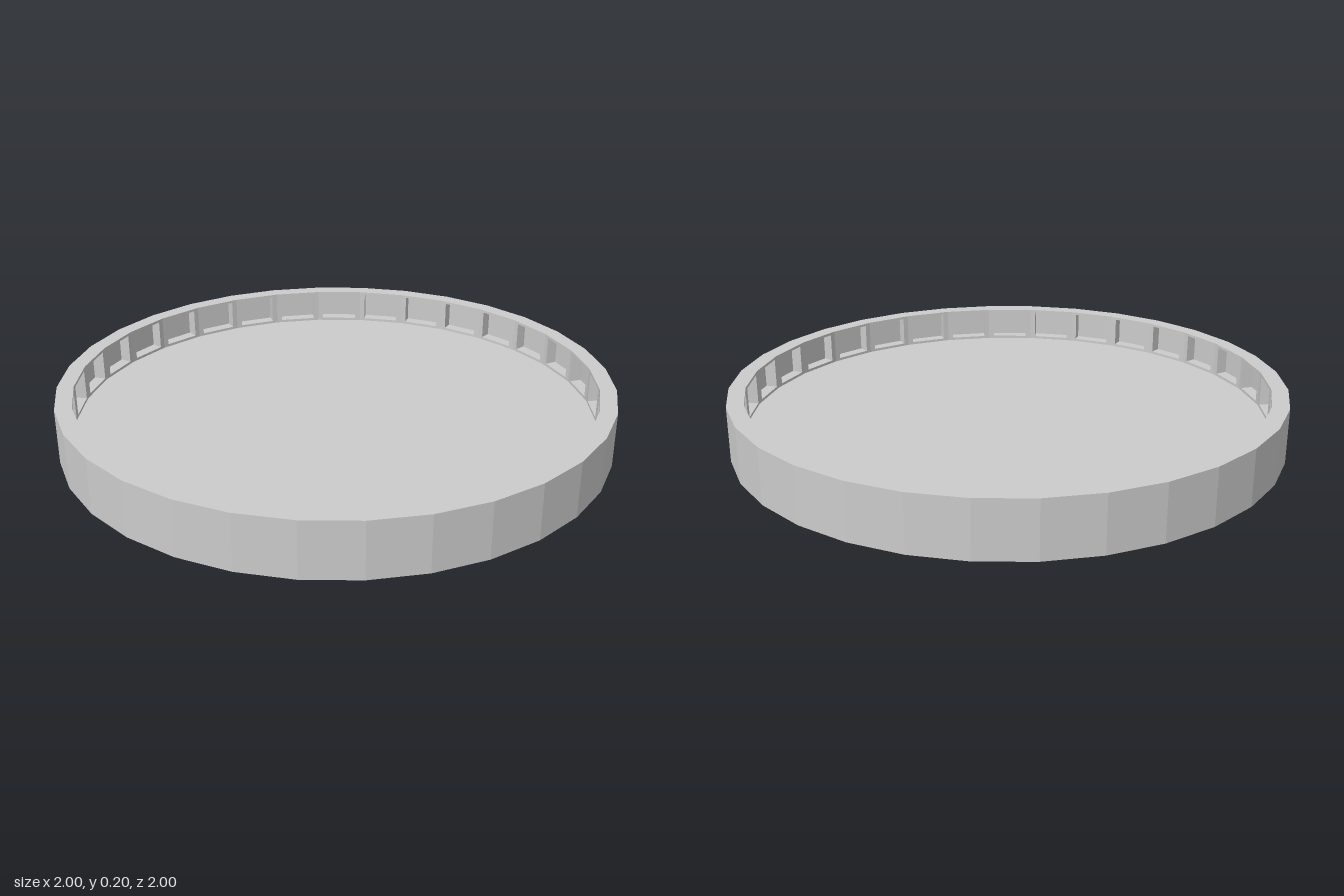
import * as THREE from 'three';

const SIDES = 32;
const OUTER = 1, INNER = 0.94, BACK = 0.985; // wall radii, BACK is the rear of the pockets
const HEIGHT = 0.2, FLOOR = 0.07;
const SILL = 0.08, LINTEL = 0.19;            // bottom and top of the pockets
const HALF = 0.021;                          // half width of a pillar

export function createModel() {
  const group = new THREE.Group();
  const material = new THREE.MeshStandardMaterial({ color: 0xcccccc, flatShading: true });

  // Faceted tray: floor, wall and rim, with a channel cut around the inside
  const profile = [
    [0, 0], [OUTER, 0], [OUTER, HEIGHT], [INNER, HEIGHT], [INNER, LINTEL], [BACK, LINTEL],
    [BACK, SILL], [INNER, SILL], [INNER, FLOOR], [0, FLOOR],
  ].map(([r, y]) => new THREE.Vector2(r, y));
  const tray = new THREE.Mesh(new THREE.LatheGeometry(profile, SIDES), material);
  tray.name = 'tray';
  group.add(tray);

  // Pillars at the corners divide the channel into one pocket per facet
  const slope = HALF * Math.tan(Math.PI / SIDES);
  const section = new THREE.Shape([
    [INNER, 0], [INNER - slope, -HALF], [BACK - slope, -HALF],
    [BACK, 0], [BACK - slope, HALF], [INNER - slope, HALF],
  ].map(([x, y]) => new THREE.Vector2(x, y)));
  const pillarGeometry = new THREE.ExtrudeGeometry(section, { depth: LINTEL - SILL, bevelEnabled: false });
  pillarGeometry.rotateX(-Math.PI / 2).translate(0, SILL, 0);

  const pillars = new THREE.Group();
  pillars.name = 'pocketPillars';
  for (let i = 0; i < SIDES; i++) {
    const pillar = new THREE.Mesh(pillarGeometry, material);
    pillar.name = 'pillar';
    pillar.rotation.y = (i / SIDES) * Math.PI * 2;
    pillars.add(pillar);
  }
  group.add(pillars);
  return group;
}
